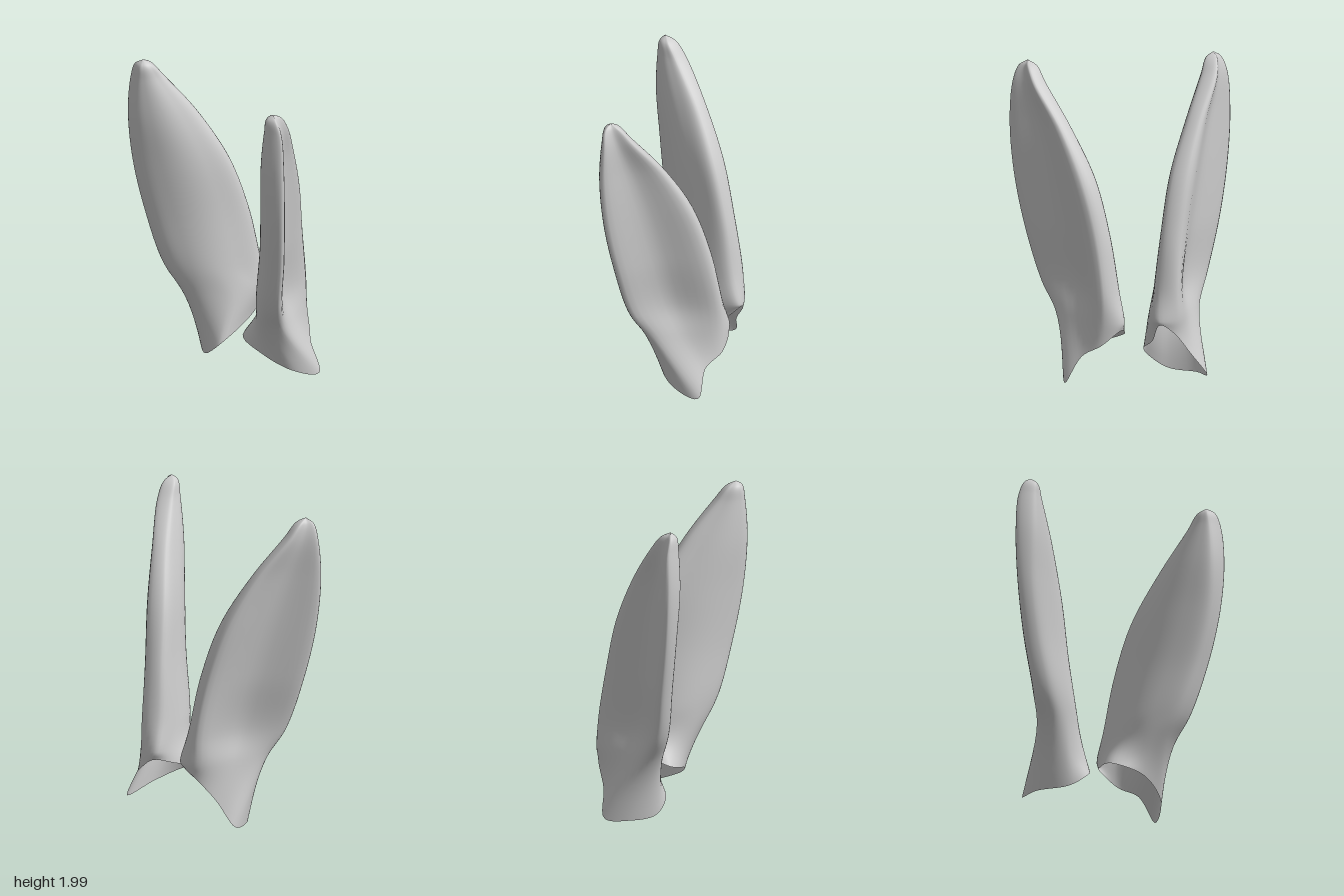
import * as THREE from 'three';

const COLS = 48, ROWS = 54;

// Blade cross-sections: height, then [x, z] of the outer edge's back and front corners
// and the inner edge's front and back corners, then the bulge of the back
const LEVELS = [
  [0.6, [-0.22, 0.44], [-0.175, 0.535], [0.32, 0.25], [0.28, 0.125], 0.115],
  [0.95, [-0.285, 0.54], [-0.245, 0.63], [0.255, 0.285], [0.22, 0.17], 0.1],
  [1.3, [-0.335, 0.6], [-0.295, 0.69], [0.16, 0.36], [0.12, 0.245], 0.09],
  [1.62, [-0.36, 0.605], [-0.315, 0.71], [0.01, 0.465], [-0.03, 0.38], 0.07],
  [1.87, [-0.348, 0.595], [-0.312, 0.69], [-0.155, 0.585], [-0.195, 0.505], 0.035],
  [1.965, [-0.333, 0.585], [-0.315, 0.65], [-0.23, 0.605], [-0.26, 0.545], 0.015],
];

// Flared root, just above the opening
const ROOT = [[-0.14, 0.385], [-0.07, 0.46], [0.12, 0.36], [0.328, 0.25], [0.34, 0.11], [0.2, 0.09], [0.02, 0.13], [-0.12, 0.27]]
  .map(([x, z]) => new THREE.Vector3(x, 0.41, z));

// Ragged open rims, in the same order round the section
const FRONT_RIM = [[0.04, 0.08, 0.42], [0.24, 0.02, 0.46], [0.26, 0.19, 0.36], [0.34, 0.27, 0.25],
  [0.34, 0.36, 0.13], [0.2, 0.32, 0.07], [-0.05, 0.24, 0.06], [-0.075, 0.18, 0.26]];
const BACK_RIM = [[0.05, 0.01, 0.42], [0.2, 0.02, 0.46], [0.25, 0.18, 0.34], [0.33, 0.33, 0.22],
  [0.345, 0.39, 0.13], [0.2, 0.26, 0.11], [-0.08, 0.13, 0.11], [-0.08, 0.02, 0.25]];

// Eight points: outer edge, dished front face, inner edge, rounded back
function bladeSection([y, outerBack, outerFront, innerFront, innerBack, bulge]) {
  const point = (a, b, u, push) => new THREE.Vector3(
    a[0] + (b[0] - a[0]) * u - push * 0.65, y,
    a[1] + (b[1] - a[1]) * u - push * 0.76);
  return [
    point(outerBack, outerFront, 0, 0),
    point(outerBack, outerFront, 1, 0),
    point(outerFront, innerFront, 0.5, bulge * 0.5),
    point(innerFront, innerBack, 0, 0),
    point(innerFront, innerBack, 1, 0),
    point(innerBack, outerBack, 0.25, bulge * 0.75),
    point(innerBack, outerBack, 0.5, bulge),
    point(innerBack, outerBack, 0.75, bulge * 0.75),
  ];
}

// Skin smooth curves through the sections, from the rim to the tip
function earGeometry(rim, side) {
  const sections = [rim.map((p) => new THREE.Vector3(...p)), ROOT, ...LEVELS.map(bladeSection)];
  const rings = sections.map((s) => new THREE.CatmullRomCurve3(s, true));
  const tip = new THREE.Vector3(-0.295, 2, 0.597);
  const positions = [], index = [];
  for (let c = 0; c < COLS; c++) {
    const column = new THREE.CatmullRomCurve3([...rings.map((r) => r.getPoint(c / COLS)), tip]);
    for (let r = 0; r <= ROWS; r++) {
      const p = column.getPoint(r / ROWS);
      positions.push(p.x, Math.max(p.y, 0), p.z * side);
    }
  }
  const at = (c, r) => (c % COLS) * (ROWS + 1) + r;
  for (let c = 0; c < COLS; c++) {
    for (let r = 0; r < ROWS; r++) {
      const a = at(c, r), b = at(c + 1, r), d = at(c, r + 1), e = at(c + 1, r + 1);
      if (side > 0) index.push(a, b, e, a, e, d);
      else index.push(a, e, b, a, d, e);
    }
  }
  const geometry = new THREE.BufferGeometry();
  geometry.setAttribute('position', new THREE.Float32BufferAttribute(positions, 3));
  geometry.setIndex(index);
  geometry.computeVertexNormals();
  return geometry;
}

export function createModel() {
  const group = new THREE.Group();
  group.name = 'ears';
  const material = new THREE.MeshStandardMaterial({ color: 0xcccccc, side: THREE.DoubleSide });
  for (const [name, rim, side] of [['frontEar', FRONT_RIM, 1], ['backEar', BACK_RIM, -1]]) {
    const ear = new THREE.Mesh(earGeometry(rim, side), material);
    ear.name = name;
    group.add(ear);
  }
  return group;
}
